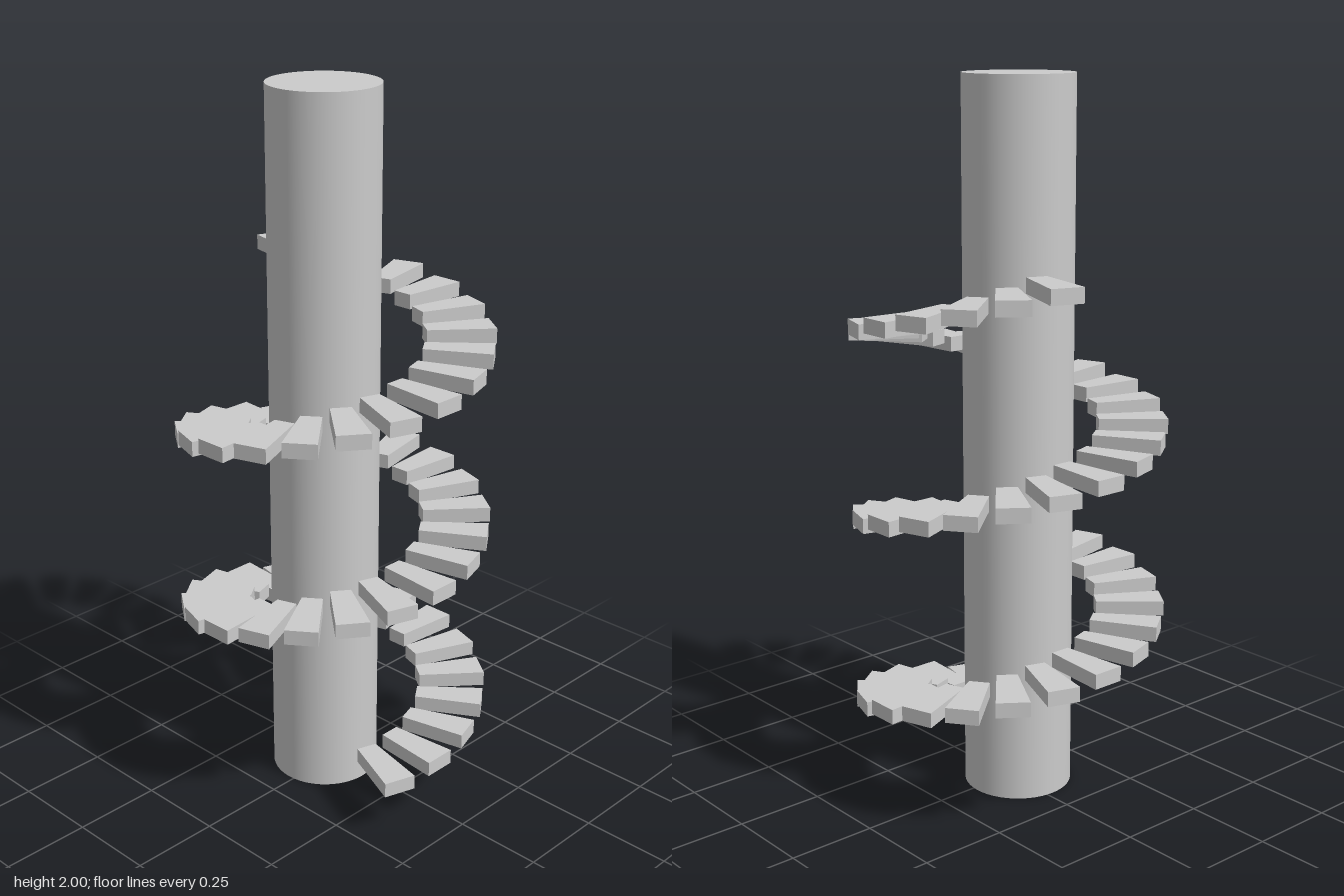
import * as THREE from 'three';

export function createModel() {
  const group = new THREE.Group();
  group.name = 'spiralStaircase';
  const material = new THREE.MeshStandardMaterial({ color: 0xcccccc });
  const flat = new THREE.MeshStandardMaterial({ color: 0xcccccc, flatShading: true });

  // Central column, slightly off the axis of the spiral
  const column = new THREE.Mesh(new THREE.CylinderGeometry(0.152, 0.152, 2, 48), material);
  column.name = 'column';
  column.position.set(-0.018, 1, 0.02);
  group.add(column);

  // Wedge tread, set a little to one side of its radius
  const inner = 0.243, outer = 0.432, shift = -0.025;
  const outline = new THREE.Shape([
    new THREE.Vector2(inner, shift - 0.029),
    new THREE.Vector2(outer, shift - 0.046),
    new THREE.Vector2(outer, shift + 0.046),
    new THREE.Vector2(inner, shift + 0.029),
  ]);
  const treadGeometry = new THREE.ExtrudeGeometry(outline, { depth: 0.042, bevelEnabled: false });
  treadGeometry.rotateX(-Math.PI / 2);

  // Treads climb anticlockwise, twenty to a turn
  const steps = new THREE.Group();
  steps.name = 'steps';
  for (let i = 0; i < 51; i++) {
    const step = new THREE.Mesh(treadGeometry, flat);
    step.name = `step${i + 1}`;
    step.rotation.y = ((i - 1) * Math.PI) / 10;
    step.position.y = 0.134 + i * 0.02645;
    steps.add(step);
  }
  group.add(steps);
  return group;
}
